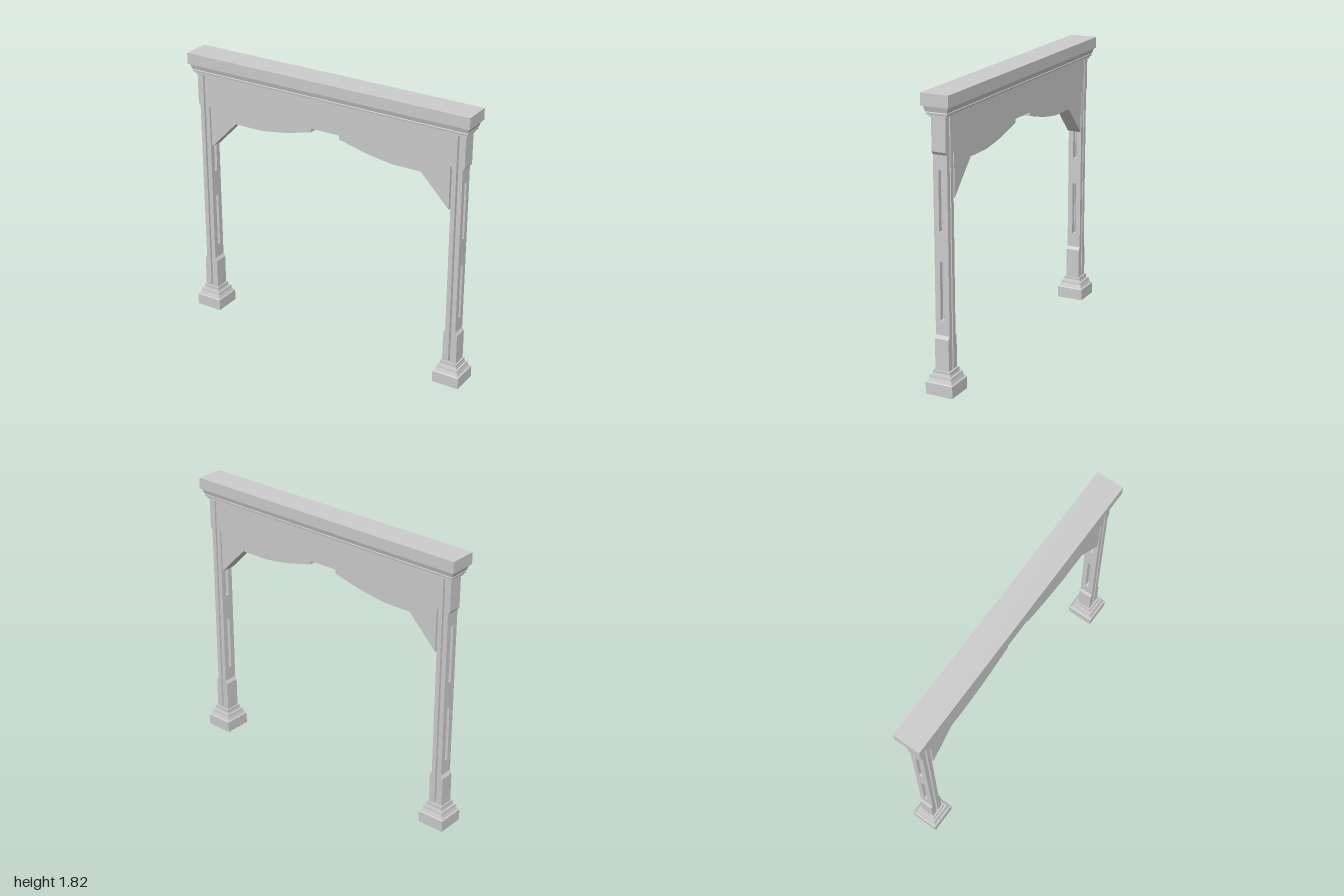
import * as THREE from 'three';

const material = new THREE.MeshStandardMaterial({ color: 0xcccccc, flatShading: true });
const DEPTH = 0.092;   // shared depth of posts and apron
const POST_X = 0.91;   // centre of each post
const BEAM_Y = 1.68;   // underside of the cornice

function add(group, name, geometry) {
  const mesh = new THREE.Mesh(geometry, material);
  mesh.name = name;
  group.add(mesh);
  return mesh;
}

// Rectangular block whose half sizes shrink by insets at its bottom and top
function taper(halfX, halfZ, y0, y1, inset0, inset1) {
  const geometry = new THREE.BoxGeometry(2, y1 - y0, 2);
  geometry.translate(0, (y0 + y1) / 2, 0);
  const p = geometry.attributes.position;
  for (let i = 0; i < p.count; i++) {
    const inset = p.getY(i) < (y0 + y1) / 2 ? inset0 : inset1;
    p.setX(i, p.getX(i) * (halfX - inset));
    p.setZ(i, p.getZ(i) * (halfZ - inset));
  }
  geometry.computeVertexNormals();
  return geometry;
}

// Outline in x and y, extruded evenly about z = 0
function slab(points) {
  const shape = new THREE.Shape(points.map(([x, y]) => new THREE.Vector2(x, y)));
  const geometry = new THREE.ExtrudeGeometry(shape, { depth: DEPTH, bevelEnabled: false });
  return geometry.translate(0, 0, -DEPTH / 2);
}

// Upright board with two through slots, spanning x0 to x1
function slottedBoard(x0, x1) {
  const h = DEPTH / 2;
  const rect = (w, y0, y1) => [[-w, y0], [w, y0], [w, y1], [-w, y1]].map(([x, y]) => new THREE.Vector2(x, y));
  const shape = new THREE.Shape(rect(h, 0.14, BEAM_Y));
  for (const [y0, y1] of [[0.46, 0.82], [1.0, 1.37]]) {
    shape.holes.push(new THREE.Path(rect(0.012, y0, y1)));
  }
  const geometry = new THREE.ExtrudeGeometry(shape, { depth: x1 - x0, bevelEnabled: false });
  return geometry.rotateY(Math.PI / 2).translate(x0, 0, 0);
}

function createPost(name) {
  const post = new THREE.Group();
  post.name = name;

  // Square plinth with stepped moulding: [y0, y1, inset0, inset1]
  const tiers = [
    [0, 0.075, 0, 0], [0.075, 0.08, 0, 0.005], [0.08, 0.102, 0.009, 0.017],
    [0.102, 0.117, 0.017, 0.019], [0.117, 0.13, 0.029, 0.033], [0.13, 0.147, 0.033, 0.033],
  ];
  tiers.forEach(([y0, y1, a, b], i) =>
    add(post, i ? 'baseMoulding' : 'plinth', taper(0.09, 0.09, y0, y1, a, b)));

  // Two boards with a narrow gap between them
  add(post, 'outerBoard', slottedBoard(0.006, 0.035));
  add(post, 'innerBoard', slottedBoard(-0.035, -0.006));

  // Chamfered pads thickening the foot of both boards and the outer head
  const foot = [[0.034, 0.14], [0.048, 0.14], [0.048, 0.345], [0.035, 0.366], [0.034, 0.366]];
  add(post, 'outerFootPad', slab(foot));
  add(post, 'innerFootPad', slab(foot.map(([x, y]) => [-x, y]).reverse()));
  add(post, 'outerHeadPad', slab([[0.034, 1.46], [0.035, 1.46], [0.048, 1.478], [0.048, BEAM_Y], [0.034, BEAM_Y]]));
  return post;
}

export function createModel() {
  const model = new THREE.Group();
  model.name = 'gateway';

  // Matching posts, mirrored by half a turn
  const left = createPost('leftPost');
  left.position.x = POST_X;
  const right = createPost('rightPost');
  right.position.x = -POST_X;
  right.rotation.y = Math.PI;
  model.add(left, right);

  // Apron with corner brackets, curved underside and raised centre
  const half = [
    [0.1, 1.49], [0.1, 1.465], [0.2, 1.44], [0.29, 1.418], [0.385, 1.402], [0.48, 1.39],
    [0.67, 1.39], [0.864, 1.19], [0.864, 1.46], [0.876, 1.476], [0.876, BEAM_Y],
  ];
  add(model, 'apron', slab([...half, ...half.map(([x, y]) => [-x, y]).reverse()]));

  // Cornice: slab over stepped moulding
  const cornice = new THREE.Group();
  cornice.name = 'cornice';
  model.add(cornice);
  const steps = [
    [1.68, 1.694, 0.033, 0.033], [1.694, 1.706, 0.024, 0.022], [1.706, 1.712, 0.022, 0.027],
    [1.712, 1.738, 0.02, 0.012], [1.738, 1.747, 0.012, 0.01], [1.747, 1.82, 0, 0],
  ];
  steps.forEach(([y0, y1, a, b], i) =>
    add(cornice, i < 5 ? 'corniceMoulding' : 'corniceSlab', taper(1, 0.09, y0, y1, a, b)));

  return model;
}
